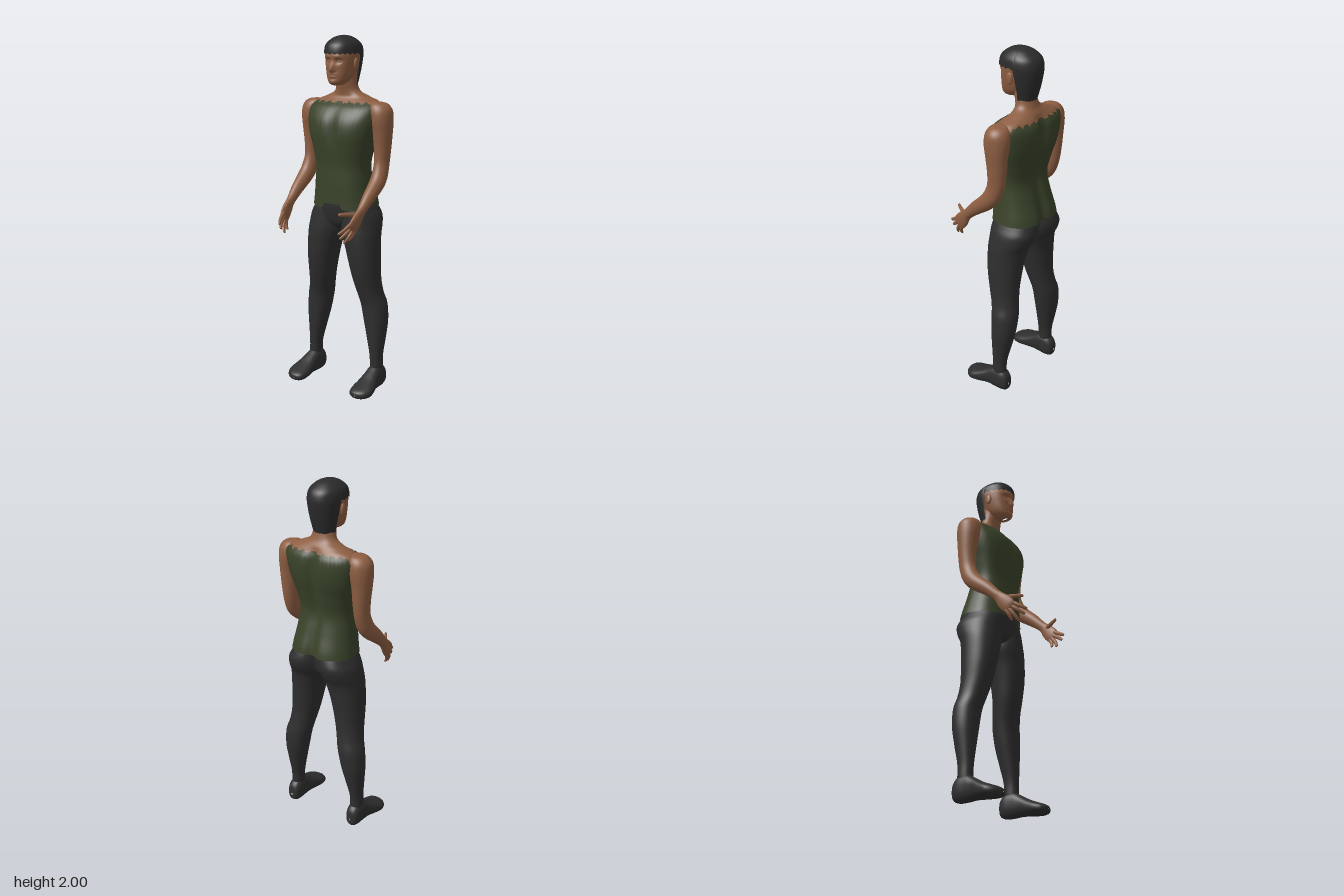
import * as THREE from 'three';

const mat = (name, color, side = THREE.FrontSide) => {
  const m = new THREE.MeshStandardMaterial({ color, side });
  m.name = name;
  return m;
};
const skin = mat('skin brown', 0x8d5e42);
const green = mat('shirt green', 0x394229, THREE.DoubleSide);
const black = mat('trouser black', 0x2e2e2f);
const hairBlack = mat('hair black', 0x2b2b2c, THREE.DoubleSide);

const step = THREE.MathUtils.smoothstep;
const bump = (d, w) => Math.exp(-(d * d) / (w * w));
const spow = (a, p) => Math.sign(a) * Math.abs(a) ** (2 / p);

// Smoothly interpolates every column of a table of sections, v from 0 to 1
function sample(rows, v) {
  const n = rows.length - 1;
  const f = Math.min(Math.max(v, 0), 1) * n;
  const i = Math.min(Math.floor(f), n - 1), t = f - i;
  const r = (k) => rows[Math.min(Math.max(k, 0), n)];
  return rows[i].map((b, k) => {
    const a = r(i - 1)[k], c = r(i + 1)[k], d = r(i + 2)[k];
    return b + 0.5 * t * (c - a + t * (2 * a - 5 * b + 4 * c - d + t * (3 * (b - c) + d - a)));
  });
}

// v at which the first column (height) reaches y, for tables rising upward
function vAt(rows, y) {
  let lo = 0, hi = 1;
  for (let i = 0; i < 24; i++) {
    const m = (lo + hi) / 2;
    if (sample(rows, m)[0] < y) lo = m; else hi = m;
  }
  return lo;
}

// Smooth surface closed around its angle, always facing outward
function surface(name, material, nu, nv, fn) {
  const pos = [], idx = [];
  for (let j = 0; j <= nv; j++)
    for (let i = 0; i < nu; i++) pos.push(...fn((i / nu) * Math.PI * 2, j / nv));
  for (let j = 0; j < nv; j++)
    for (let i = 0; i < nu; i++) {
      const a = j * nu + i, b = j * nu + ((i + 1) % nu);
      idx.push(a, a + nu, b, b, a + nu, b + nu);
    }
  const g = new THREE.BufferGeometry();
  g.setAttribute('position', new THREE.Float32BufferAttribute(pos, 3));
  g.computeBoundingBox();
  const mid = g.boundingBox.getCenter(new THREE.Vector3());
  const p = (k) => new THREE.Vector3().fromArray(pos, k * 3).sub(mid);
  let volume = 0;
  for (let k = 0; k < idx.length; k += 3) volume += p(idx[k]).dot(p(idx[k + 1]).cross(p(idx[k + 2])));
  if (volume < 0) idx.reverse();
  g.setIndex(idx);
  g.computeVertexNormals();
  const mesh = new THREE.Mesh(g, material);
  mesh.name = name;
  return mesh;
}

// Point on a level section: [y, half width, z front, z back, power, front groove, back groove]
function level([y, rx, zf, zb, p = 2.2, gf = 0, gb = 0], t, out = 0) {
  const s = Math.sin(t);
  const x = (rx + out) * spow(Math.cos(t), p);
  let z = (zf + zb) / 2 + ((zf - zb) / 2 + out) * spow(s, p);
  z += (s > 0 ? -gf * s : -gb * s) * bump(x, 0.035);
  return [x, y, z];
}

// Tapered limb along a path: [x, y, z, radius sideways, radius across]
function limb(name, material, rows, sx, nu = 28, nv = 56) {
  return surface(name, material, nu, nv, (t, v) => {
    const r = sample(rows, v), a = sample(rows, v - 0.004), b = sample(rows, v + 0.004);
    const dir = new THREE.Vector3(0, b[1] - a[1], b[2] - a[2]).normalize();
    const c = Math.cos(t) * r[3], s = Math.sin(t) * r[4];
    return [sx * (r[0] + c), r[1] + dir.z * s, r[2] - dir.y * s];
  });
}

const torso = [
  [1.03, 0.19, 0.032, -0.255, 2.4, 0, 0.03],
  [1.10, 0.177, 0.03, -0.246, 2.4, 0, 0.025],
  [1.20, 0.162, 0.03, -0.213, 2.4, 0, 0.015],
  [1.30, 0.154, 0.028, -0.19, 2.4, 0, 0.015],
  [1.40, 0.174, 0.04, -0.206, 2.5, 0.004, 0.018],
  [1.48, 0.197, 0.045, -0.226, 2.6, 0.012, 0.022],
  [1.55, 0.212, 0.032, -0.234, 2.6, 0.01, 0.025],
  [1.61, 0.216, -0.005, -0.228, 2.6, 0.004, 0.02],
  [1.645, 0.195, -0.048, -0.208, 2.5, 0, 0.01],
  [1.67, 0.135, -0.07, -0.192, 2.3, 0, 0],
  [1.70, 0.076, -0.068, -0.175, 2.1, 0, 0],
  [1.75, 0.062, -0.055, -0.163, 2, 0, 0],
  [1.82, 0.06, -0.04, -0.16, 2, 0, 0],
];
const head = [
  [1.735, 0.006, 0.004, -0.03, 2], [1.739, 0.03, 0.019, -0.06, 2],
  [1.755, 0.05, 0.028, -0.09, 2.2], [1.785, 0.066, 0.028, -0.125, 2.3],
  [1.83, 0.078, 0.028, -0.15, 2.3], [1.87, 0.085, 0.029, -0.17, 2.3],
  [1.91, 0.087, 0.03, -0.185, 2.2], [1.95, 0.078, 0.015, -0.17, 2.1],
  [1.98, 0.04, -0.03, -0.13, 2], [1.985, 0.002, -0.08, -0.082, 2],
];
const hair = [
  [1.72, 0.064, 0, -0.163], [1.77, 0.073, 0, -0.178], [1.82, 0.083, 0.02, -0.191],
  [1.87, 0.091, 0.034, -0.2], [1.91, 0.094, 0.04, -0.203], [1.95, 0.087, 0.029, -0.19],
  [1.98, 0.06, -0.005, -0.153], [1.995, 0.03, -0.04, -0.118], [2, 0.001, -0.08, -0.082],
];
const pelvis = [
  [0.925, 0.004, -0.085, -0.12], [0.94, 0.05, -0.03, -0.17], [0.97, 0.12, 0, -0.212, 2.3, 0, 0.03],
  [1.02, 0.175, 0.014, -0.235, 2.4, 0, 0.05], [1.07, 0.176, 0.022, -0.236, 2.4, 0, 0.05],
  [1.12, 0.165, 0.02, -0.22, 2.4, 0, 0.03],
].map((r) => (r.length < 7 ? [...r, 2.1, 0, 0] : r));

// Leg sections: [y, inner x, outer x, z front, z back]
const leg = [
  [1.09, 0.01, 0.165, 0.005, -0.222], [1.05, 0, 0.186, 0.012, -0.24], [1.01, 0, 0.206, 0.015, -0.248],
  [0.96, 0, 0.217, 0.018, -0.233], [0.91, 0.008, 0.223, 0.02, -0.207], [0.84, 0.033, 0.226, 0.018, -0.194],
  [0.75, 0.056, 0.229, 0.01, -0.185], [0.65, 0.077, 0.231, -0.01, -0.18], [0.57, 0.095, 0.24, -0.033, -0.188],
  [0.5, 0.11, 0.26, -0.05, -0.199], [0.4, 0.131, 0.267, -0.055, -0.194], [0.3, 0.155, 0.259, -0.06, -0.175],
  [0.2, 0.177, 0.25, -0.065, -0.153], [0.13, 0.181, 0.25, -0.066, -0.15], [0.08, 0.181, 0.25, -0.066, -0.15],
];
// Shoe sections: [z, centre x, half width, bottom, top]
const shoe = [
  [-0.176, 0.215, 0.003, 0.045, 0.06], [-0.168, 0.215, 0.03, 0.012, 0.105], [-0.135, 0.215, 0.042, 0, 0.136],
  [-0.085, 0.216, 0.044, 0, 0.138], [-0.04, 0.218, 0.048, 0.004, 0.115], [0.01, 0.222, 0.059, 0.002, 0.088],
  [0.06, 0.224, 0.065, 0, 0.068], [0.098, 0.219, 0.051, 0.003, 0.054], [0.116, 0.215, 0.025, 0.012, 0.042],
  [0.12, 0.215, 0.002, 0.024, 0.028],
];
const arm = [
  [0.2, 1.652, -0.11, 0.001, 0.001], [0.208, 1.643, -0.11, 0.046, 0.043], [0.219, 1.61, -0.11, 0.066, 0.066],
  [0.228, 1.555, -0.11, 0.063, 0.071], [0.235, 1.48, -0.112, 0.052, 0.061], [0.235, 1.4, -0.113, 0.045, 0.054],
  [0.235, 1.32, -0.106, 0.04, 0.05], [0.238, 1.255, -0.082, 0.042, 0.049], [0.24, 1.21, -0.045, 0.041, 0.045],
  [0.24, 1.15, 0.03, 0.033, 0.037], [0.238, 1.1, 0.085, 0.024, 0.029], [0.237, 1.075, 0.11, 0.019, 0.032],
  [0.235, 1.045, 0.135, 0.017, 0.041], [0.231, 1.015, 0.162, 0.014, 0.041], [0.228, 1, 0.177, 0.008, 0.03],
  [0.228, 0.997, 0.18, 0.001, 0.002],
];
// Each finger: knuckle, middle joint, tip
const fingers = {
  indexFinger: [[0.227, 1.035, 0.175], [0.217, 1.01, 0.215], [0.199, 0.989, 0.25]],
  middleFinger: [[0.228, 1.015, 0.17], [0.218, 0.988, 0.207], [0.2, 0.962, 0.238]],
  ringFinger: [[0.229, 1, 0.16], [0.22, 0.965, 0.186], [0.203, 0.932, 0.203]],
  littleFinger: [[0.231, 0.995, 0.145], [0.224, 0.966, 0.16], [0.21, 0.94, 0.168]],
  thumb: [[0.23, 1.072, 0.125], [0.204, 1.08, 0.172], [0.179, 1.083, 0.213]],
};

export function createModel() {
  const model = new THREE.Group();
  model.name = 'figure';
  const add = (...m) => model.add(...m);

  // Bare shoulders and neck
  const chestV = vAt(torso, 1.4);
  add(surface('shouldersAndNeck', skin, 80, 50, (t, v) => level(sample(torso, chestV + v * (1 - chestV)), t)));

  // Shirt with a torn neckline, cut-away armholes and uneven hem
  add(surface('shirt', green, 160, 50, (t, v) => {
    const c = Math.abs(Math.cos(t)), s = Math.sin(t);
    const top = 1.642 + 0.006 * Math.sin(26 * c + 1.5) + 0.004 * Math.sin(61 * c) - 0.13 * step(c, 0.87, 1);
    const hem = s > 0 ? 1.058 + 0.03 * (1 - step(c, 0.2, 0.3)) + 0.012 * step(c, 0.6, 1) : 1.07;
    const a = vAt(torso, hem), b = vAt(torso, top);
    return level(sample(torso, a + v * (b - a)), t, 0.006);
  }));

  // Head with brow, eye sockets, nose, lips and chin shaped in
  add(surface('head', skin, 112, 80, (t, v) => {
    const [x, y, z] = level(sample(head, v), t);
    const ax = Math.abs(x);
    if (Math.sin(t) <= 0) return [x, y, z];
    const nose = y > 1.815 ? bump(y - 1.822, 0.034) : bump(y - 1.815, 0.009);
    const d = 0.022 * nose * bump(x, 0.011 + 0.004 * nose)
      - 0.011 * bump(ax - 0.034, 0.018) * bump(y - 1.864, 0.014)
      + 0.005 * bump(ax - 0.03, 0.03) * bump(y - 1.888, 0.01)
      + 0.007 * bump(x, 0.024) * (bump(y - 1.797, 0.006) + bump(y - 1.783, 0.006))
      + 0.005 * bump(x, 0.022) * bump(y - 1.755, 0.012);
    return [x, y, z + d];
  }));

  // Close hair: ragged fringe in front, long at the nape
  add(surface('hair', hairBlack, 128, 40, (t, v) => {
    const s = Math.sin(t);
    const fringe = 1.903 + 0.004 * Math.sin(t * 22);
    const bottom = fringe + (1.735 - fringe) * step(-s, 0.1, 0.24);
    const a = vAt(hair, bottom);
    return level(sample(hair, a + v * (1 - a)), t);
  }));

  add(surface('pelvis', black, 64, 30, (t, v) => level(sample(pelvis, v), t)));

  for (const [side, sx] of [['left', 1], ['right', -1]]) {
    // Ears and eyelids
    for (const [part, p, r] of [
      ['Ear', [0.087, 1.85, -0.073], [0.01, 0.033, 0.019]],
      ['Eyelid', [0.033, 1.864, 0.008], [0.013, 0.007, 0.009]],
    ]) {
      const m = new THREE.Mesh(new THREE.SphereGeometry(1, 20, 14), skin);
      m.name = side + part;
      m.position.set(sx * p[0], p[1], p[2]);
      m.scale.set(...r);
      add(m);
    }

    // Arm with palm, then fingers
    add(limb(side + 'Arm', skin, arm, sx, 36, 80));
    for (const [name, pts] of Object.entries(fingers)) {
      const w = name === 'thumb' ? 1.15 : 1;
      const [a, b, c] = pts;
      const end = c.map((k, i) => k + (c[i] - b[i]) * 0.12);
      const rows = [[...a, 0.011, 0.012], [...b, 0.0095, 0.0105], [...c, 0.007, 0.008], [...end, 0.0005, 0.0005]];
      const finger = limb(side + name[0].toUpperCase() + name.slice(1), skin, rows.map((r) => [r[0], r[1], r[2], r[3] * w, r[4] * w]), sx, 14, 18);
      add(finger);
    }

    // Leg
    add(surface(side + 'Leg', black, 48, 70, (t, v) => {
      const [y, xi, xo, zf, zb] = sample(leg, v);
      const [x, , z] = level([y, (xo - xi) / 2, zf, zb, 2.15], t);
      return [sx * (x + (xi + xo) / 2), y, z];
    }));

    // Shoe
    add(surface(side + 'Shoe', black, 40, 48, (t, v) => {
      const [z, cx, w, lo, hi] = sample(shoe, v);
      const y = (lo + hi) / 2 + ((hi - lo) / 2) * spow(Math.sin(t), 2.4);
      return [sx * (cx + w * spow(Math.cos(t), 2.4)), Math.max(y, 0), z];
    }));
  }
  return model;
}
